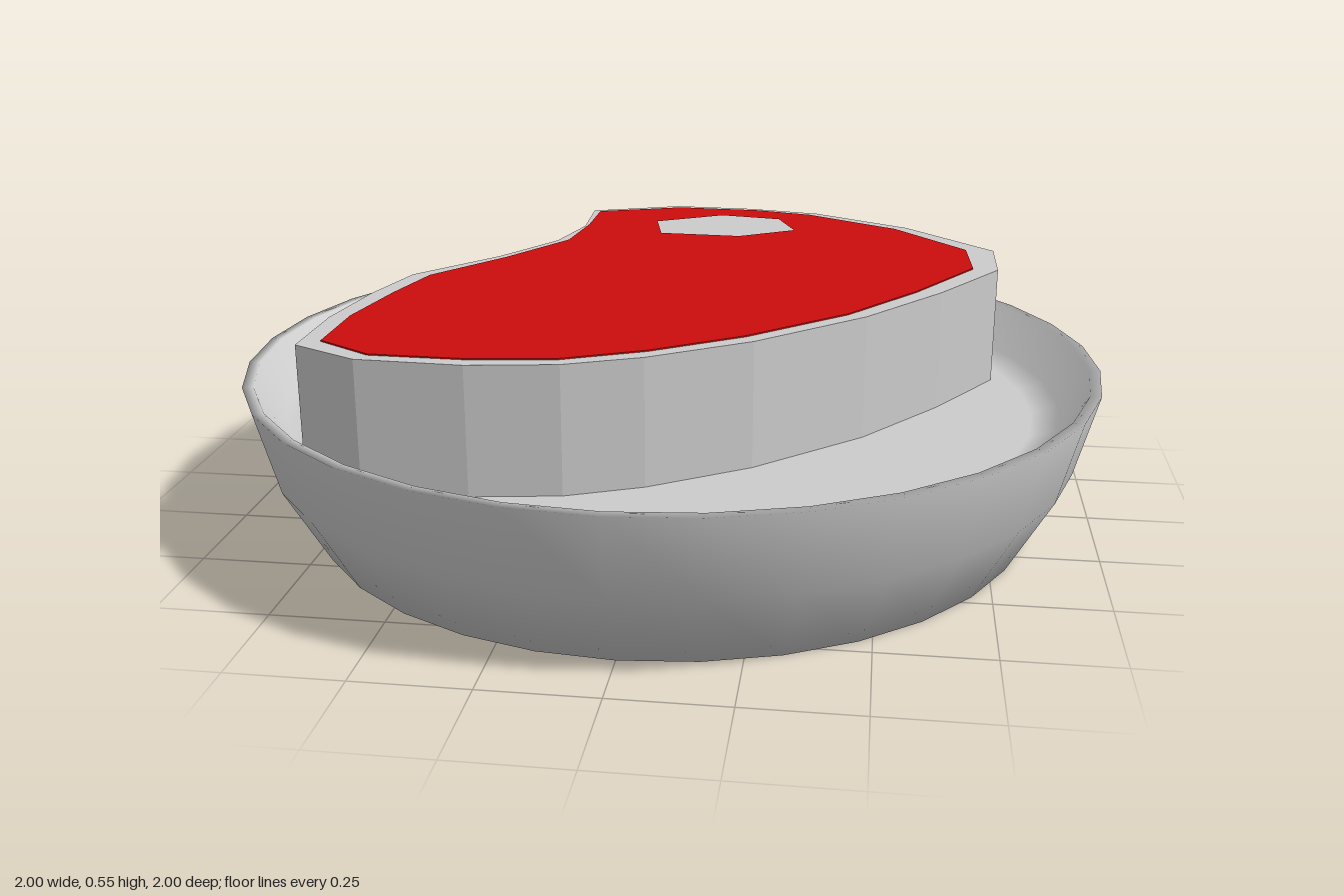
import * as THREE from 'three';

// Outlines as [x, z] seen from above
const FAT = [
  [-0.33, -0.79], [-0.1, -0.88], [0.11, -0.87], [0.3, -0.83], [0.55, -0.68], [0.77, -0.44], [0.77, -0.24],
  [0.63, -0.01], [0.46, 0.22], [0.23, 0.44], [0.02, 0.58], [-0.14, 0.65], [-0.33, 0.68], [-0.56, 0.67],
  [-0.71, 0.59], [-0.71, 0.38], [-0.68, 0.17], [-0.635, -0.01], [-0.47, -0.22], [-0.36, -0.41], [-0.32, -0.59],
];
const MEAT = [
  [-0.31, -0.77], [-0.09, -0.85], [0.13, -0.84], [0.28, -0.8], [0.52, -0.65], [0.7, -0.43], [0.71, -0.24],
  [0.57, 0], [0.42, 0.21], [0.21, 0.41], [0.02, 0.54], [-0.15, 0.62], [-0.33, 0.645], [-0.54, 0.64],
  [-0.665, 0.56], [-0.665, 0.37], [-0.63, 0.17], [-0.59, 0], [-0.45, -0.2], [-0.33, -0.41], [-0.31, -0.6],
];
const BONE = [[-0.13, -0.66], [0.04, -0.76], [0.2, -0.73], [0.25, -0.6], [0.11, -0.51], [-0.1, -0.52]];

const toPoints = (outline) => outline.map(([x, z]) => new THREE.Vector2(x, -z));

// Upright slab with the given outline, from height y0 to y1
function slab(name, shape, y0, y1, material) {
  const geometry = new THREE.ExtrudeGeometry(shape, { depth: y1 - y0, bevelEnabled: false });
  geometry.rotateX(-Math.PI / 2);
  geometry.translate(0, y0, 0);
  const mesh = new THREE.Mesh(geometry, material);
  mesh.name = name;
  return mesh;
}

export function createModel() {
  const grey = new THREE.MeshStandardMaterial({ color: 0xcccccc });
  grey.name = 'pale grey';
  const red = new THREE.MeshStandardMaterial({ color: 0xcc0d0d });
  red.name = 'meat red';

  const model = new THREE.Group();
  model.name = 'steakOnPlate';

  // Deep round plate, base to rim and back in to the floor
  const profile = [[0, 0], [0.85, 0], [0.95, 0.18], [1, 0.37], [0.975, 0.37], [0.91, 0.28], [0.85, 0.26], [0, 0.26]];
  const plate = new THREE.Mesh(
    new THREE.LatheGeometry(profile.map(([r, y]) => new THREE.Vector2(r, y)), 32), grey);
  plate.name = 'plate';
  model.add(plate);

  // Steak body with its rim of fat; the bone shows through the hole in the meat
  model.add(slab('steakFat', new THREE.Shape(toPoints(FAT)), 0.2, 0.542, grey));
  const meat = new THREE.Shape(toPoints(MEAT));
  meat.holes.push(new THREE.Path(toPoints(BONE)));
  model.add(slab('steakMeat', meat, 0.541, 0.545, red));

  return model;
}
